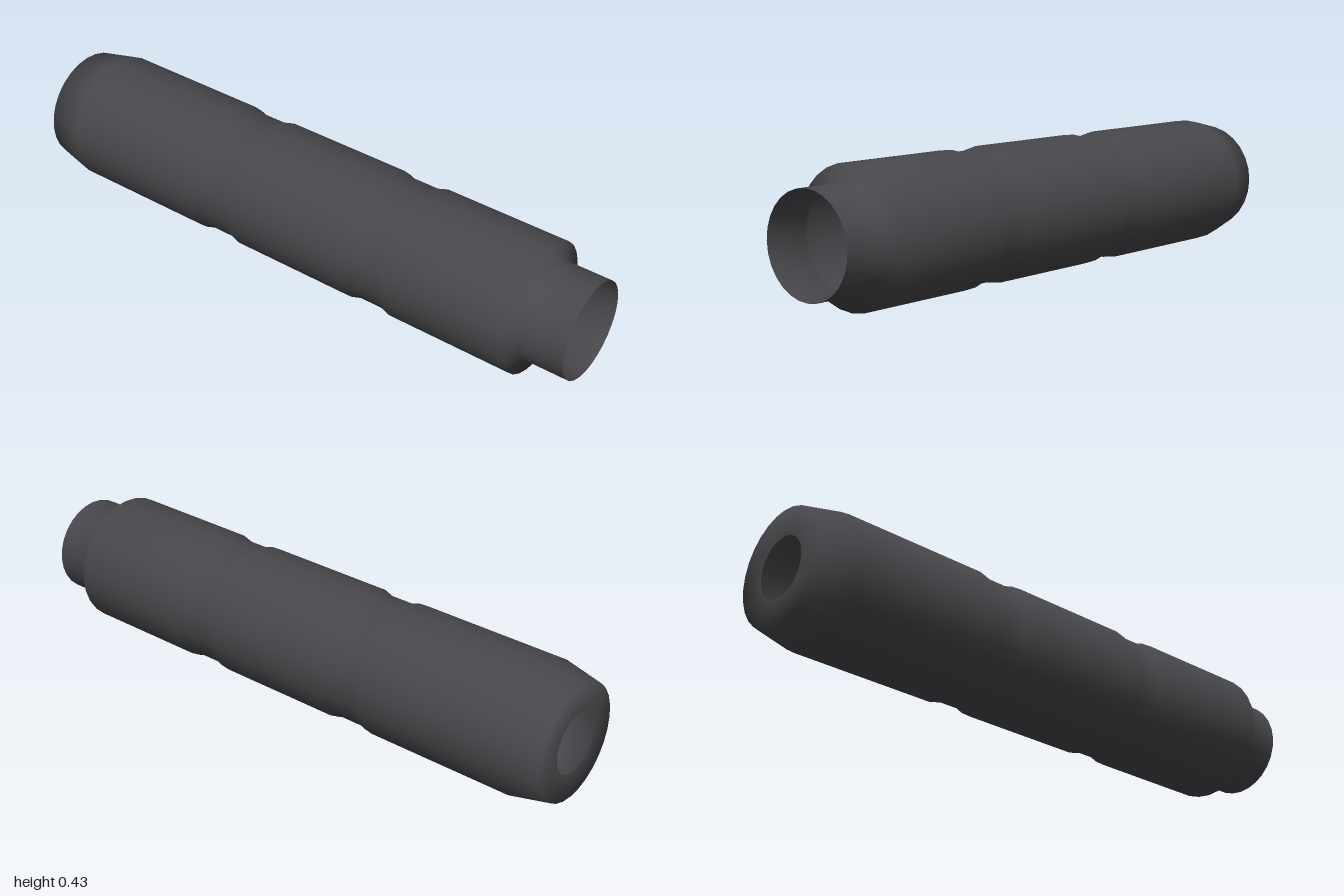
import * as THREE from 'three';

const RADIUS = 0.216;
const GROOVE = 0.206;

// Profile of a shallow ring groove, from its rear edge to its front edge
const groove = (z) => [[RADIUS, z - 0.083], [GROOVE, z - 0.05], [GROOVE, z + 0.05], [RADIUS, z + 0.083]];

export function createModel() {
  const group = new THREE.Group();
  group.name = 'tube';

  const darkGrey = new THREE.MeshStandardMaterial({ color: 0x48484c, side: THREE.DoubleSide });
  darkGrey.name = 'darkGrey';

  // Thin open shell, from the rear hole to the narrow front neck
  const profile = [
    [0.098, -1], [0.188, -1], [RADIUS, -0.87],
    ...groove(-0.282),
    ...groove(0.319),
    [RADIUS, 0.83], [0.161, 0.85], [0.161, 1],
  ].map(([r, z]) => new THREE.Vector2(r, z));

  const geometry = new THREE.LatheGeometry(profile, 28);
  geometry.rotateX(Math.PI / 2);

  const shell = new THREE.Mesh(geometry, darkGrey);
  shell.name = 'shell';
  shell.position.y = RADIUS;
  group.add(shell);

  return group;
}
